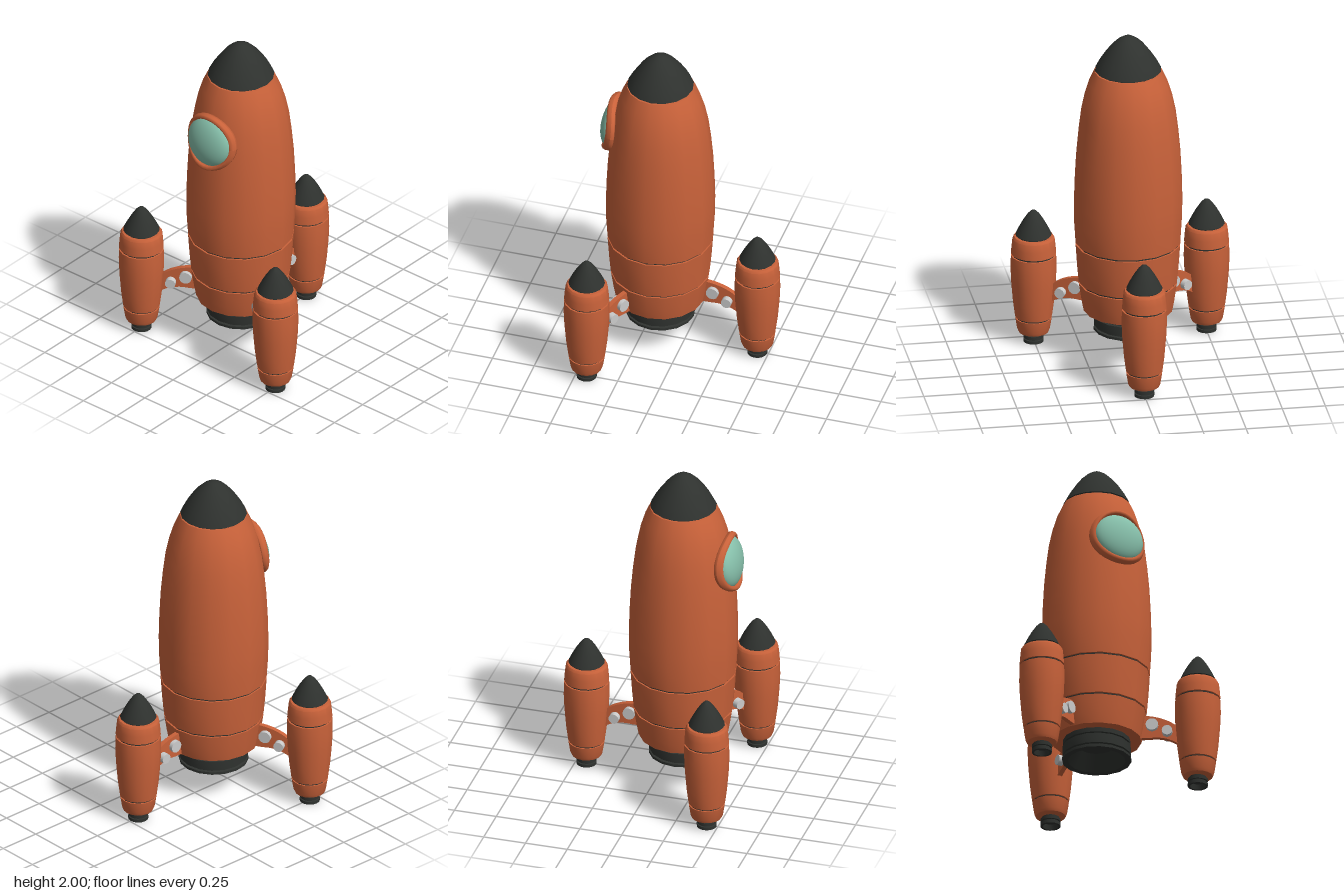
import * as THREE from 'three';
import { toCreasedNormals } from 'three/addons/utils/BufferGeometryUtils.js';

const mat = (color, side = THREE.FrontSide) => new THREE.MeshStandardMaterial({ color, side });
const ORANGE = mat(0xc9623a), DARK = mat(0x2f322f), GLASS = mat(0x86bfaa), GREY = mat(0xcccccc);
const SIDES = 16;

function add(parent, name, geometry, material) {
  const mesh = new THREE.Mesh(geometry, material);
  mesh.name = name;
  parent.add(mesh);
  return mesh;
}

// Turned part from [radius, height] pairs, listed bottom to top on the outside
function turned(parent, name, profile, material) {
  const points = profile.map(([r, y]) => new THREE.Vector2(r, y));
  return add(parent, name, toCreasedNormals(new THREE.LatheGeometry(points, SIDES), 0.6), material);
}

// Hull panel whose ends fold inward to meet the recessed seams
function panel(parent, name, profile) {
  const [r0, y0] = profile[0], [r1, y1] = profile[profile.length - 1];
  turned(parent, name, [[r0 * 0.7, y0], ...profile, [r1 * 0.7, y1]], ORANGE);
}

function seam(parent, r, y, h = 0.03) {
  turned(parent, 'seam', [[r, y - h / 2], [r, y + h / 2]], DARK);
}

function porthole() {
  const g = new THREE.Group();
  g.name = 'porthole';
  // Frame bent around the hull
  const frame = new THREE.TorusGeometry(0.157, 0.017, 8, 32);
  const p = frame.attributes.position;
  for (let i = 0; i < p.count; i++) {
    const x = p.getX(i);
    p.setZ(i, p.getZ(i) * 1.6 - 1.5 * x * x);
  }
  frame.computeVertexNormals();
  add(g, 'portholeFrame', frame, ORANGE);
  const glass = add(g, 'portholeGlass', new THREE.SphereGeometry(0.153, 32, 20), GLASS);
  glass.scale.z = 0.48;
  glass.position.z = -0.022;
  g.position.set(0, 1.467, 0.295);
  g.rotation.x = -0.13;
  return g;
}

// Side booster with its strut, laid out along +x from the hull axis
function boosterArm() {
  const arm = new THREE.Group();
  arm.name = 'boosterArm';
  const booster = new THREE.Group();
  booster.name = 'booster';
  booster.position.x = 0.58;
  arm.add(booster);

  turned(booster, 'boosterNozzle', [[0, 0.035], [0.038, 0.03], [0.045, 0], [0.058, 0], [0.058, 0.018],
    [0.05, 0.02], [0.05, 0.026], [0.058, 0.028], [0.058, 0.045], [0.05, 0.048], [0.05, 0.07]], DARK);
  panel(booster, 'boosterTail', [[0.072, 0.055], [0.086, 0.062], [0.094, 0.08], [0.105, 0.148]]);
  seam(booster, 0.097, 0.153);
  panel(booster, 'boosterBody', [[0.106, 0.158], [0.118, 0.25], [0.128, 0.37], [0.132, 0.46], [0.13, 0.54]]);
  seam(booster, 0.12, 0.546);
  panel(booster, 'boosterCollar', [[0.13, 0.552], [0.126, 0.6], [0.121, 0.645], [0.112, 0.658]]);
  seam(booster, 0.095, 0.662);
  turned(booster, 'boosterNose', [[0, 0.668], [0.105, 0.668], [0.085, 0.71], [0.06, 0.755],
    [0.033, 0.795], [0.014, 0.814], [0, 0.82]], DARK);

  // Arched strut plate
  const s = new THREE.Shape();
  s.moveTo(0.22, 0.45);
  s.lineTo(0.29, 0.445);
  s.quadraticCurveTo(0.42, 0.43, 0.49, 0.35);
  s.lineTo(0.49, 0.25);
  s.quadraticCurveTo(0.41, 0.32, 0.3, 0.305);
  s.lineTo(0.22, 0.305);
  const plate = new THREE.ExtrudeGeometry(s, { depth: 0.028, bevelEnabled: false, curveSegments: 8 });
  plate.translate(0, 0, -0.014);
  add(arm, 'strut', toCreasedNormals(plate, 0.6), ORANGE);

  // Pins through the strut
  for (const [x, y, r, w] of [[0.318, 0.383, 0.036, 0.076], [0.405, 0.34, 0.03, 0.096]]) {
    const pin = add(arm, 'strutPin', new THREE.CylinderGeometry(r, r, w, 16), GREY);
    pin.rotation.x = Math.PI / 2;
    pin.position.set(x, y, 0);
  }
  return arm;
}

export function createModel() {
  const model = new THREE.Group();
  model.name = 'rocket';
  model.position.z = 0.145;

  // Main hull
  panel(model, 'hullTail', [[0.258, 0.298], [0.27, 0.36], [0.286, 0.468]]);
  seam(model, 0.276, 0.474);
  panel(model, 'hullMiddle', [[0.287, 0.48], [0.296, 0.58], [0.305, 0.712]]);
  seam(model, 0.295, 0.718);
  panel(model, 'hullBody', [[0.305, 0.724], [0.313, 0.85], [0.315, 0.97], [0.311, 1.12], [0.303, 1.27],
    [0.291, 1.4], [0.276, 1.52], [0.255, 1.62], [0.227, 1.71], [0.194, 1.782]]);
  seam(model, 0.182, 1.786);
  turned(model, 'noseCone', [[0, 1.79], [0.192, 1.79], [0.163, 1.845], [0.13, 1.895],
    [0.095, 1.94], [0.06, 1.973], [0.028, 1.993], [0, 2]], DARK);
  model.add(porthole());

  // Hollow main nozzle with stepped rings
  turned(model, 'mainNozzle', [[0, 0.27], [0.1, 0.265], [0.165, 0.175], [0.2, 0.175], [0.2, 0.19],
    [0.185, 0.193], [0.185, 0.2], [0.198, 0.203], [0.198, 0.258], [0.185, 0.262], [0.185, 0.268],
    [0.195, 0.271], [0.195, 0.31]], DARK);

  // Three boosters evenly spaced, one directly behind
  for (let i = 0; i < 3; i++) {
    const arm = boosterArm();
    arm.rotation.y = Math.PI / 2 + (i * 2 * Math.PI) / 3;
    model.add(arm);
  }
  const root = new THREE.Group();
  root.add(model);
  return root;
}
